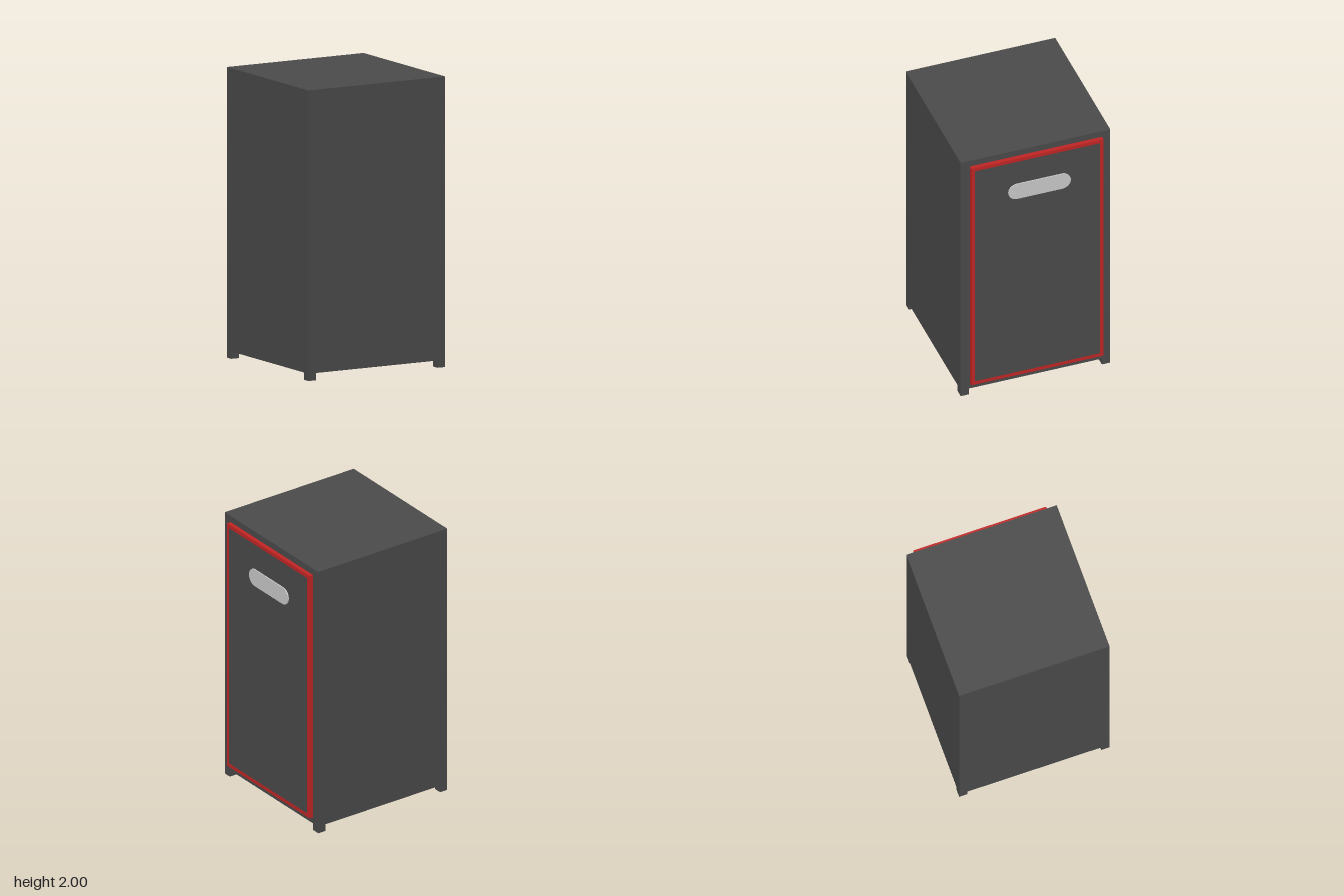
import * as THREE from 'three';

const dark = new THREE.MeshStandardMaterial({ color: 0x4b4b4b });
const red = new THREE.MeshStandardMaterial({ color: 0xc42525 });
const grey = new THREE.MeshStandardMaterial({ color: 0xcccccc });

// Box given by its minimum and maximum corners
function box(name, min, max, material) {
  const size = max.map((v, i) => v - min[i]);
  const mesh = new THREE.Mesh(new THREE.BoxGeometry(...size), material);
  mesh.position.set(...max.map((v, i) => (v + min[i]) / 2));
  mesh.name = name;
  return mesh;
}

// Extrude a shape outwards along +x, starting at the given x
function sidePlate(name, shape, depth, position, material) {
  const geometry = new THREE.ExtrudeGeometry(shape, { depth, bevelEnabled: false, curveSegments: 16 });
  geometry.rotateY(Math.PI / 2);
  const mesh = new THREE.Mesh(geometry, material);
  mesh.position.set(...position);
  mesh.name = name;
  return mesh;
}

function rectangle(PathType, w, h) {
  return new PathType([[-w, -h], [w, -h], [w, h], [-w, h]].map(([x, y]) => new THREE.Vector2(x / 2, y / 2)));
}

export function createModel() {
  const group = new THREE.Group();

  // Cabinet and its four corner feet
  group.add(box('cabinet', [-0.56, 0.05, -0.54], [0.52, 2, 0.54], dark));
  for (const x of [-0.56, 0.46]) {
    for (const z of [-0.54, 0.48]) {
      group.add(box('foot', [x, 0, z], [x + 0.06, 0.05, z + 0.06], dark));
    }
  }

  // Door: coloured rim around a flush dark panel
  const width = 0.955, height = 1.855, rim = 0.027;
  const frame = rectangle(THREE.Shape, width, height);
  frame.holes.push(rectangle(THREE.Path, width - 2 * rim, height - 2 * rim));
  group.add(sidePlate('doorFrame', frame, 0.03, [0.52, 1.025, -0.003], red));
  const panel = rectangle(THREE.Shape, width - 2 * rim, height - 2 * rim);
  group.add(sidePlate('doorPanel', panel, 0.03, [0.52, 1.025, -0.003], dark));

  // Pill-shaped handle plate
  const r = 0.063, half = 0.225 - r;
  const pill = new THREE.Shape();
  pill.absarc(half, 0, r, -Math.PI / 2, Math.PI / 2, false);
  pill.absarc(-half, 0, r, Math.PI / 2, Math.PI * 1.5, false);
  group.add(sidePlate('handle', pill, 0.012, [0.546, 1.677, -0.017], grey));

  return group;
}
